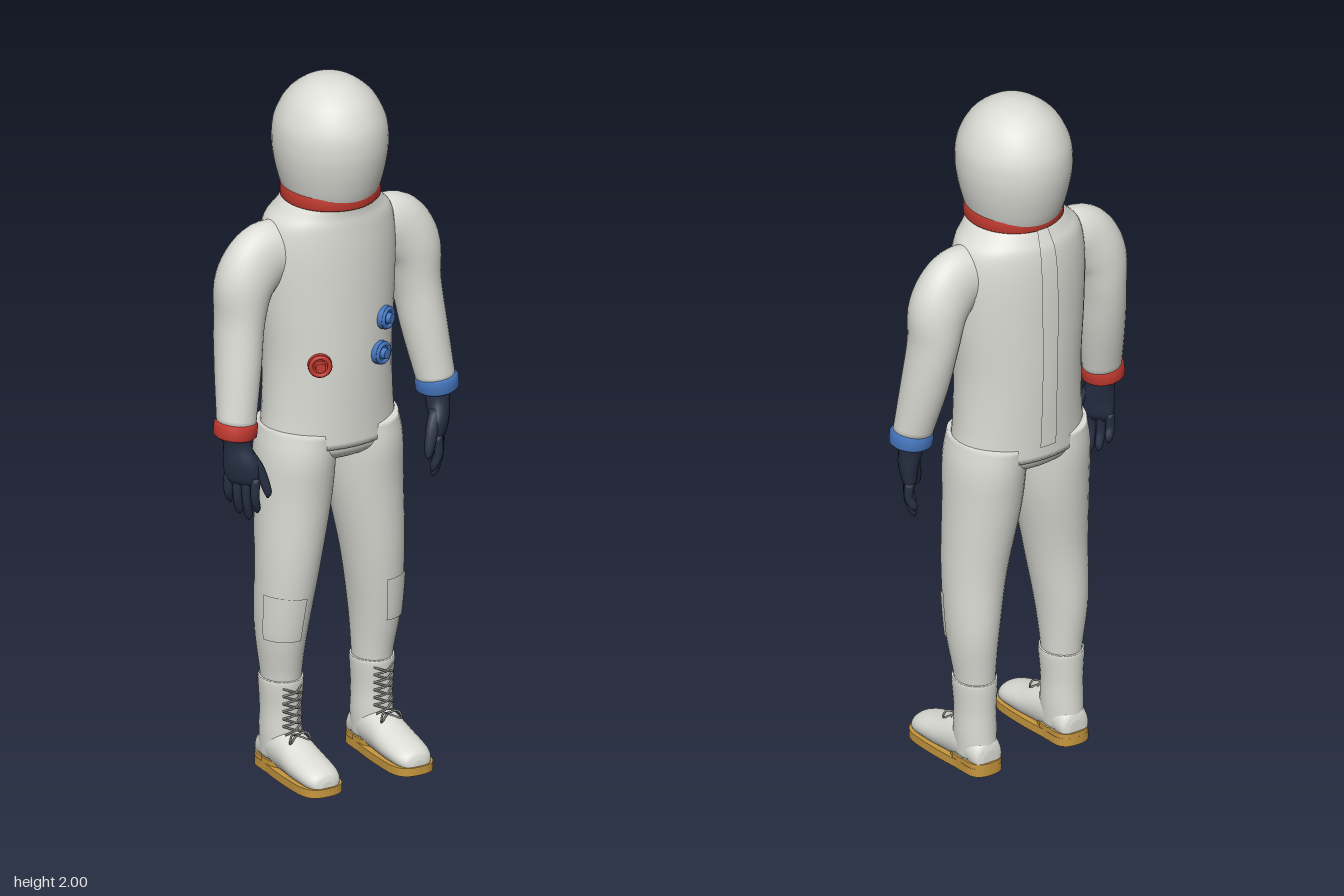
import * as THREE from 'three';

const paint = (name, color) => Object.assign(new THREE.MeshStandardMaterial({ color }), { name });
const V = (x, y, z) => new THREE.Vector3(x, y, z);

// Smooth skin over sections [x, y, z, half width, half depth].
// t0..t1 and a0..a1 cut out a piece; grow lifts it off the surface.
function loft(sections, { n = 32, steps = 6, t0 = 0, t1 = 1, a0 = 0, a1 = Math.PI * 2, grow = 0 } = {}) {
  const spine = new THREE.CatmullRomCurve3(sections.map(s => V(s[0], s[1], s[2])), false, 'catmullrom');
  const radii = new THREE.CatmullRomCurve3(sections.map(s => V(s[3], s[4], 0)), false, 'catmullrom');
  const full = a1 - a0 > 6.28, rows = (sections.length - 1) * steps, cols = full ? n : n + 1;
  const pos = [], idx = [], zAxis = V(0, 0, 1);
  for (let i = 0; i <= rows; i++) {
    const t = t0 + (t1 - t0) * i / rows, c = spine.getPoint(t), r = radii.getPoint(t);
    const side = spine.getTangent(t).cross(zAxis).normalize();
    for (let j = 0; j < cols; j++) {
      const a = a0 + (a1 - a0) * j / n;
      const p = c.clone().addScaledVector(side, (r.x + grow) * Math.cos(a));
      pos.push(p.x, p.y, p.z + (r.y + grow) * Math.sin(a));
    }
  }
  for (let i = 0; i < rows; i++) for (let j = 0; j < n; j++) {
    const a = i * cols + j, b = i * cols + (j + 1) % cols;
    idx.push(a, a + cols, b, b, a + cols, b + cols);
  }
  if (full) { // end caps
    const first = pos.length / 3, last = rows * cols, s = spine.getPoint(0), e = spine.getPoint(1);
    pos.push(s.x, s.y, s.z, e.x, e.y, e.z);
    for (let j = 0; j < n; j++) {
      const k = (j + 1) % n;
      idx.push(first, j, k, first + 1, last + k, last + j);
    }
  }
  const g = new THREE.BufferGeometry();
  g.setAttribute('position', new THREE.Float32BufferAttribute(pos, 3));
  g.setIndex(idx);
  g.computeVertexNormals();
  return g;
}

// Band with softened edges, centred on its own axis
function band(inner, outer, h, segments = 48) {
  const e = 0.007, y = h / 2;
  const profile = [[inner, -y], [outer - e, -y], [outer, -y + e], [outer, y - e], [outer - e, y], [inner, y]];
  return new THREE.LatheGeometry(profile.map(p => new THREE.Vector2(...p)), segments);
}

// Shoe-shaped slab from heel (z = -0.13) to the given front
function slab(front, halfFront, halfHeel, height) {
  const s = new THREE.Shape(), f = -front, h = 0.13;
  s.moveTo(0, f);
  s.bezierCurveTo(halfFront * 0.75, f, halfFront, f + 0.02, halfFront, f + 0.08);
  s.bezierCurveTo(halfFront, 0, halfHeel, 0.02, halfHeel, h - 0.05);
  s.bezierCurveTo(halfHeel, h - 0.01, halfHeel * 0.6, h, 0, h);
  s.bezierCurveTo(-halfHeel * 0.6, h, -halfHeel, h - 0.01, -halfHeel, h - 0.05);
  s.bezierCurveTo(-halfHeel, 0.02, -halfFront, 0, -halfFront, f + 0.08);
  s.bezierCurveTo(-halfFront, f + 0.02, -halfFront * 0.75, f, 0, f);
  return new THREE.ExtrudeGeometry(s, { depth: height, bevelEnabled: false, curveSegments: 10 }).rotateX(-Math.PI / 2);
}

export function createModel() {
  const model = new THREE.Group();
  model.name = 'spaceSuit';
  const white = paint('suitWhite', 0xdcdcd6), red = paint('red', 0xc23a30), blue = paint('blue', 0x4475bd);
  const navy = paint('gloveNavy', 0x262f43), gold = paint('soleGold', 0xc8983f), grey = paint('laceGrey', 0x84847f);
  const add = (name, geometry, material, parent = model) => {
    const m = new THREE.Mesh(geometry, material);
    m.name = name;
    parent.add(m);
    return m;
  };

  // Hood
  const hoodProfile = new THREE.SplineCurve([[0.122, 1.66], [0.136, 1.7], [0.15, 1.76], [0.156, 1.82], [0.149, 1.88],
    [0.119, 1.94], [0.074, 1.98], [0.036, 1.995], [0, 2]].map(p => new THREE.Vector2(...p)));
  const hood = add('hood', new THREE.LatheGeometry(hoodProfile.getPoints(40), 48), white);
  hood.scale.z = 1.08;
  hood.position.z = -0.031;
  add('collar', band(0.11, 0.137, 0.045), red).position.set(0, 1.673, -0.03);

  // Jacket, back zip flap and hips
  const jacket = [[0, 1.665, -0.03, 0.12, 0.124], [0, 1.63, -0.04, 0.155, 0.13], [0, 1.59, -0.046, 0.188, 0.139],
    [0, 1.5, -0.048, 0.2, 0.146], [0, 1.35, -0.048, 0.195, 0.148], [0, 1.2, -0.047, 0.186, 0.147],
    [0, 1.05, -0.046, 0.191, 0.142], [0, 0.955, -0.045, 0.202, 0.139]];
  add('jacket', loft(jacket, { n: 48 }), white);
  add('zipFlap', loft(jacket, { n: 6, t0: 0.02, t1: 0.93, a0: -Math.PI / 2 - 0.13, a1: -Math.PI / 2 + 0.13, grow: 0.005 }), white);
  add('hips', loft([[0, 1.03, -0.045, 0.185, 0.125], [0, 0.97, -0.045, 0.2, 0.134], [0, 0.935, -0.044, 0.195, 0.125],
    [0, 0.91, -0.044, 0.12, 0.09], [0, 0.9, -0.044, 0.03, 0.04]], { n: 48 }), white);

  // Chest connectors, turned to face out of the chest
  for (const [x, y, material] of [[-0.1, 1.21, red], [0.105, 1.305, blue], [0.085, 1.21, blue]]) {
    const port = new THREE.Group();
    port.name = 'chestConnector';
    const depth = Math.sqrt(1 - (x / 0.189) ** 2);
    port.position.set(x, y, -0.048 + 0.148 * depth);
    port.rotation.y = Math.atan2(x / 0.189 ** 2, depth / 0.148);
    add('flange', new THREE.CylinderGeometry(0.033, 0.033, 0.026, 28).rotateX(Math.PI / 2), material, port);
    add('rim', new THREE.TorusGeometry(0.026, 0.006, 8, 28).translate(0, 0, 0.014), material, port);
    add('plug', new THREE.CylinderGeometry(0.014, 0.018, 0.045, 20).rotateX(Math.PI / 2).translate(0, 0, 0.005), material, port);
    model.add(port);
  }

  for (const s of [1, -1]) {
    const side = s > 0 ? 'left' : 'right';
    const flip = list => list.map(([x, ...rest]) => [x * s, ...rest]);

    // Sleeve and wrist cuff
    add(side + 'Sleeve', loft(flip([[0.14, 1.52, -0.045, 0.085, 0.066], [0.21, 1.507, -0.045, 0.096, 0.07],
      [0.262, 1.445, -0.046, 0.086, 0.078], [0.28, 1.34, -0.045, 0.068, 0.077],
      [0.296, 1.21, -0.028, 0.063, 0.07], [0.318, 1.05, 0, 0.054, 0.053]])), white);
    const cuff = add(side + 'Cuff', band(0.042, 0.06, 0.045), s > 0 ? blue : red);
    cuff.position.set(0.32 * s, 1.045, 0);
    cuff.rotation.z = 0.1 * s;

    // Glove, hanging with the thumb forward and inward
    const glove = new THREE.Group();
    glove.name = side + 'Glove';
    glove.position.set(0.322 * s, 1.04, 0.002);
    glove.rotation.y = -0.6 * s;
    add('palm', loft(flip([[0, 0.01, 0, 0.042, 0.042], [0, -0.04, 0.006, 0.034, 0.04], [0.004, -0.09, 0.018, 0.029, 0.051],
      [0.002, -0.135, 0.02, 0.021, 0.049], [0, -0.155, 0.02, 0.008, 0.036]]), { n: 20 }), navy, glove);
    [[-0.02, -0.215], [0.008, -0.245], [0.036, -0.258], [0.06, -0.235]].forEach(([z, tip], i) => {
      const root = -0.018 + i * 0.026, mid = (tip - 0.13) / 2;
      add('finger', loft(flip([[0.002, -0.13, root, 0.014, 0.014], [0.005, mid, (root + z) / 2, 0.0125, 0.0125],
        [-0.008, tip + 0.015, z, 0.011, 0.011], [-0.012, tip, z, 0.003, 0.003]]), { n: 10, steps: 4 }), navy, glove);
    });
    add('thumb', loft(flip([[0, -0.06, 0.035, 0.02, 0.02], [-0.012, -0.11, 0.066, 0.018, 0.016],
      [-0.02, -0.17, 0.086, 0.012, 0.012], [-0.02, -0.19, 0.087, 0.003, 0.003]]), { n: 10, steps: 4 }), navy, glove);
    model.add(glove);

    // Trouser leg with a patch on the outer front of the shin
    const leg = flip([[0.1, 1, -0.045, 0.098, 0.128], [0.107, 0.92, -0.042, 0.106, 0.13], [0.114, 0.8, -0.04, 0.103, 0.118],
      [0.135, 0.6, -0.034, 0.086, 0.099], [0.148, 0.42, -0.043, 0.07, 0.084], [0.145, 0.28, -0.05, 0.055, 0.063],
      [0.145, 0.2, -0.05, 0.052, 0.06]]);
    add(side + 'Leg', loft(leg), white);
    const [a0, a1] = s > 0 ? [1.4, 2.9] : [0.24, 1.74];
    add(side + 'Patch', loft(leg, { n: 12, t0: 0.565, t1: 0.69, a0, a1, grow: 0.004 }), white);

    // Boot
    const boot = new THREE.Group();
    boot.name = side + 'Boot';
    boot.position.x = 0.145 * s;
    add('shaft', loft([[0, 0.272, -0.05, 0.059, 0.067], [0, 0.255, -0.05, 0.06, 0.068], [0, 0.18, -0.052, 0.055, 0.064],
      [0, 0.11, -0.052, 0.056, 0.066], [0, 0.04, -0.052, 0.053, 0.07]]), white, boot);
    // Foot runs from heel to toe; each row is [z, top, half width]
    const foot = [[-0.124, 0.07, 0.025], [-0.11, 0.1, 0.045], [-0.05, 0.135, 0.054], [0.02, 0.122, 0.057], [0.08, 0.098, 0.06],
      [0.15, 0.076, 0.056], [0.183, 0.06, 0.042], [0.194, 0.04, 0.02]];
    add('foot', loft(foot.map(([z, top, w]) => [0, z, -(top + 0.005) / 2, w, (top - 0.005) / 2])).rotateX(Math.PI / 2), white, boot);
    add('sole', slab(0.2, 0.064, 0.053, 0.024), gold, boot);
    add('heel', slab(0.02, 0.055, 0.052, 0.038), gold, boot);

    // Crossed laces and a bow
    for (let i = 0; i < 6; i++) for (const d of [-1, 1]) {
      const y = 0.122 + i * 0.022, z = i ? 0.008 : 0.02;
      const path = new THREE.CatmullRomCurve3([V(-0.03 * d, y, z), V(0, y + 0.011, 0.026), V(0.03 * d, y + 0.022, 0.008)]);
      add('lace', new THREE.TubeGeometry(path, 8, 0.003, 6), grey, boot);
    }
    for (const d of [-1, 1]) {
      const bow = new THREE.CatmullRomCurve3([V(0, 0.122, 0.03), V(0.025 * d, 0.128, 0.045), V(0.032 * d, 0.108, 0.05), V(0, 0.12, 0.03)]);
      add('bow', new THREE.TubeGeometry(bow, 14, 0.003, 6), grey, boot);
    }
    model.add(boot);
  }
  return model;
}
